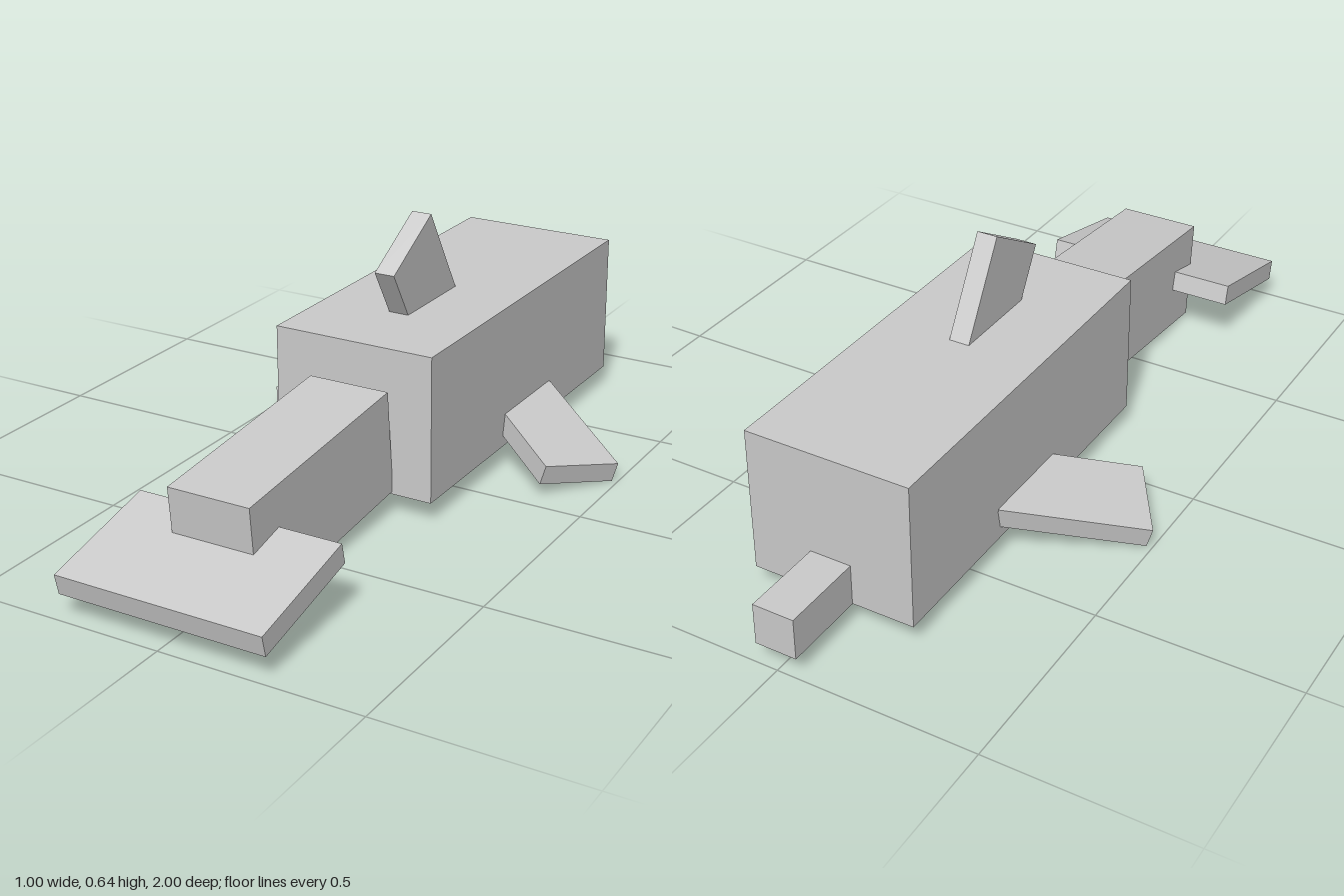
import * as THREE from 'three';

const U = 0.0525; // modelling unit
const rad = THREE.MathUtils.degToRad;

export function createModel() {
  const group = new THREE.Group();
  const material = new THREE.MeshStandardMaterial({ color: 0xcccccc, flatShading: true });

  // Box sized in units, placed by its centre and turned in degrees
  function block(name, [w, h, d], position, [rx, ry, rz] = [0, 0, 0]) {
    const mesh = new THREE.Mesh(new THREE.BoxGeometry(w * U, h * U, d * U), material);
    mesh.name = name;
    mesh.position.set(...position);
    mesh.rotation.set(rad(rx), rad(ry), rad(rz), 'ZYX');
    group.add(mesh);
  }

  // Body with the snout at the -z end
  block('body', [8, 7, 19], [0, 0.237, -0.29]);
  block('snout', [2, 2, 4], [0, 0.106, -0.895]);

  // Drooping tail and its flat fluke
  block('tail', [4, 5, 11], [0, 0.164, 0.503], [5.2, 0, 0]);
  block('tailFluke', [10, 1, 6], [0, 0.118, 0.841], [12.8, 0, 0]);

  // Fin on the back
  block('backFin', [1, 5, 4], [0, 0.479, -0.096], [30, 0, 0]);

  // Mirrored side flippers, swept to the tail and tilted down
  for (const [name, s] of [['leftFlipper', 1], ['rightFlipper', -1]]) {
    block(name, [7, 1, 4], [s * 0.291, 0.086, -0.24], [0, -35 * s, -16.7 * s]);
  }

  return group;
}
